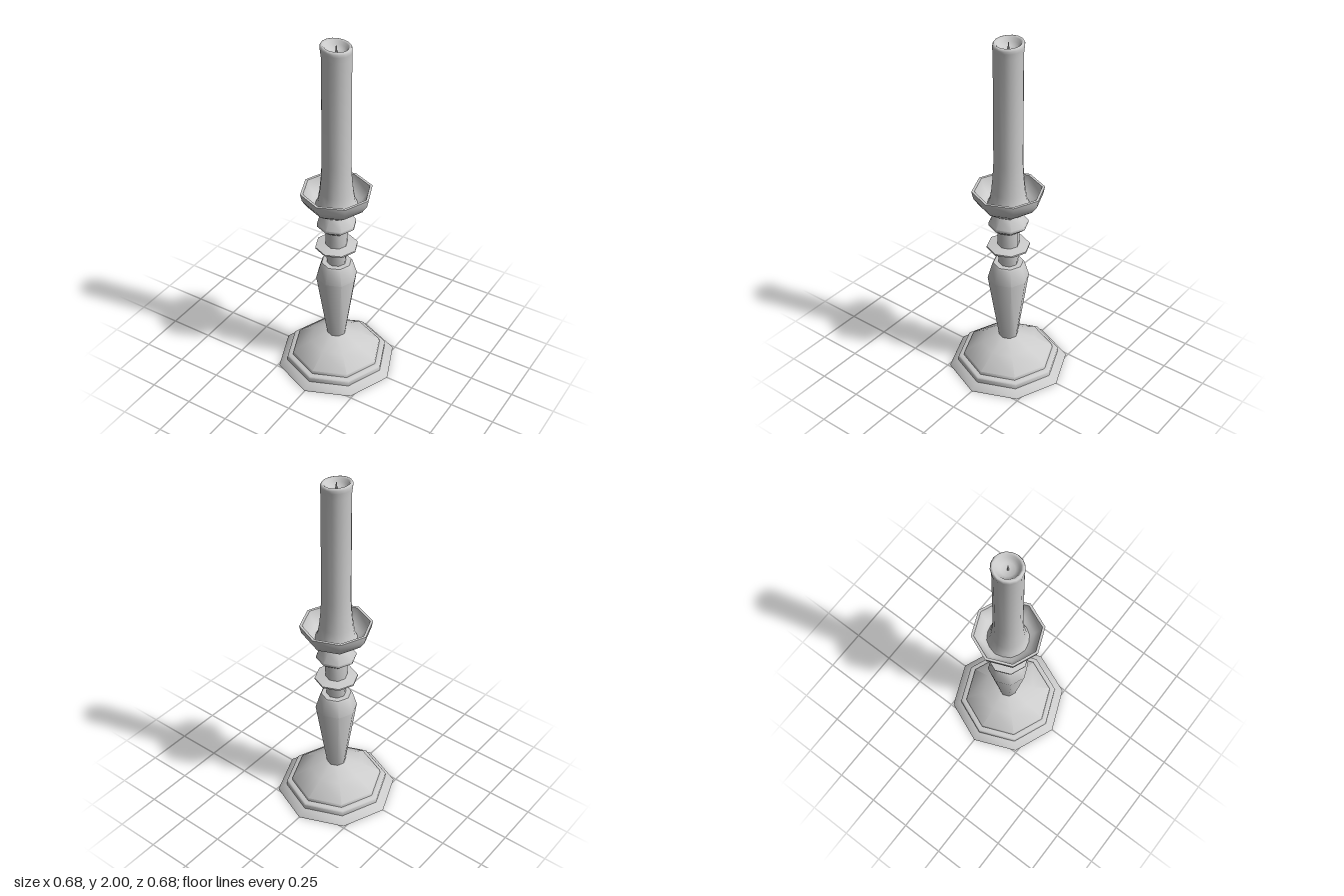
import * as THREE from 'three';
import { toCreasedNormals } from 'three/addons/utils/BufferGeometryUtils.js';

const material = new THREE.MeshStandardMaterial({ color: 0xcccccc });

// Revolve a bottom-to-top list of [radius, height] pairs
function turned(name, profile, sides = 8, crease = 0.85) {
  const points = profile.map(([r, y]) => new THREE.Vector2(r, y));
  const geometry = toCreasedNormals(new THREE.LatheGeometry(points, sides), crease);
  const mesh = new THREE.Mesh(geometry, material);
  mesh.name = name;
  return mesh;
}

export function createModel() {
  const model = new THREE.Group();
  model.name = 'candlestick';

  // Octagonal stepped foot with a closed underside
  model.add(turned('base', [
    [0, 0], [0.34, 0], [0.335, 0.008], [0.29, 0.032], [0.29, 0.058], [0.283, 0.065],
    [0.258, 0.067], [0.255, 0.085], [0.15, 0.15], [0.055, 0.2], [0, 0.2],
  ]));

  // Tapered baluster
  model.add(turned('stem', [
    [0.053, 0.195], [0.115, 0.605], [0.09, 0.69], [0.083, 0.7], [0, 0.7],
  ]));

  // Neck with a thin collar
  model.add(turned('neck', [[0.053, 0.695], [0.06, 0.8], [0.06, 0.925]]));
  model.add(turned('collar', [
    [0.058, 0.793], [0.118, 0.803], [0.118, 0.812], [0.058, 0.822],
  ]));

  // Bead under the cup
  model.add(turned('knob', [
    [0, 0.916], [0.07, 0.916], [0.108, 0.947], [0.108, 0.962], [0.07, 1.012], [0.065, 1.02],
  ]));

  // Drip cup, outside then over the rim to the inside
  model.add(turned('dripCup', [
    [0, 1.015], [0.07, 1.015], [0.157, 1.078], [0.186, 1.12], [0.195, 1.163],
    [0.18, 1.163], [0.168, 1.12], [0.142, 1.088], [0.09, 1.06], [0, 1.06],
  ]));

  // Candle with melted foot, rounded lip and hollow top
  const candle = turned('candle', [
    [0.115, 1.07], [0.1, 1.105], [0.091, 1.16], [0.083, 1.24], [0.078, 1.33],
    [0.077, 1.93], [0.08, 1.965], [0.081, 1.98], [0.077, 1.99], [0.07, 1.992],
    [0.062, 1.986], [0.054, 1.97], [0.035, 1.955], [0, 1.95],
  ], 16, 1.2);
  // Slant the lip towards +x and lean it slightly to -x
  const position = candle.geometry.attributes.position;
  for (let i = 0; i < position.count; i++) {
    const x = position.getX(i);
    const t = THREE.MathUtils.smoothstep(position.getY(i), 1.93, 1.985);
    position.setX(i, x - 0.003 * t);
    position.setY(i, position.getY(i) - 0.1 * x * t);
  }
  model.add(candle);

  // Wick
  const wick = new THREE.Mesh(new THREE.CylinderGeometry(0.003, 0.005, 0.045, 6), material);
  wick.name = 'wick';
  wick.position.set(-0.001, 1.968, 0);
  model.add(wick);

  return model;
}
